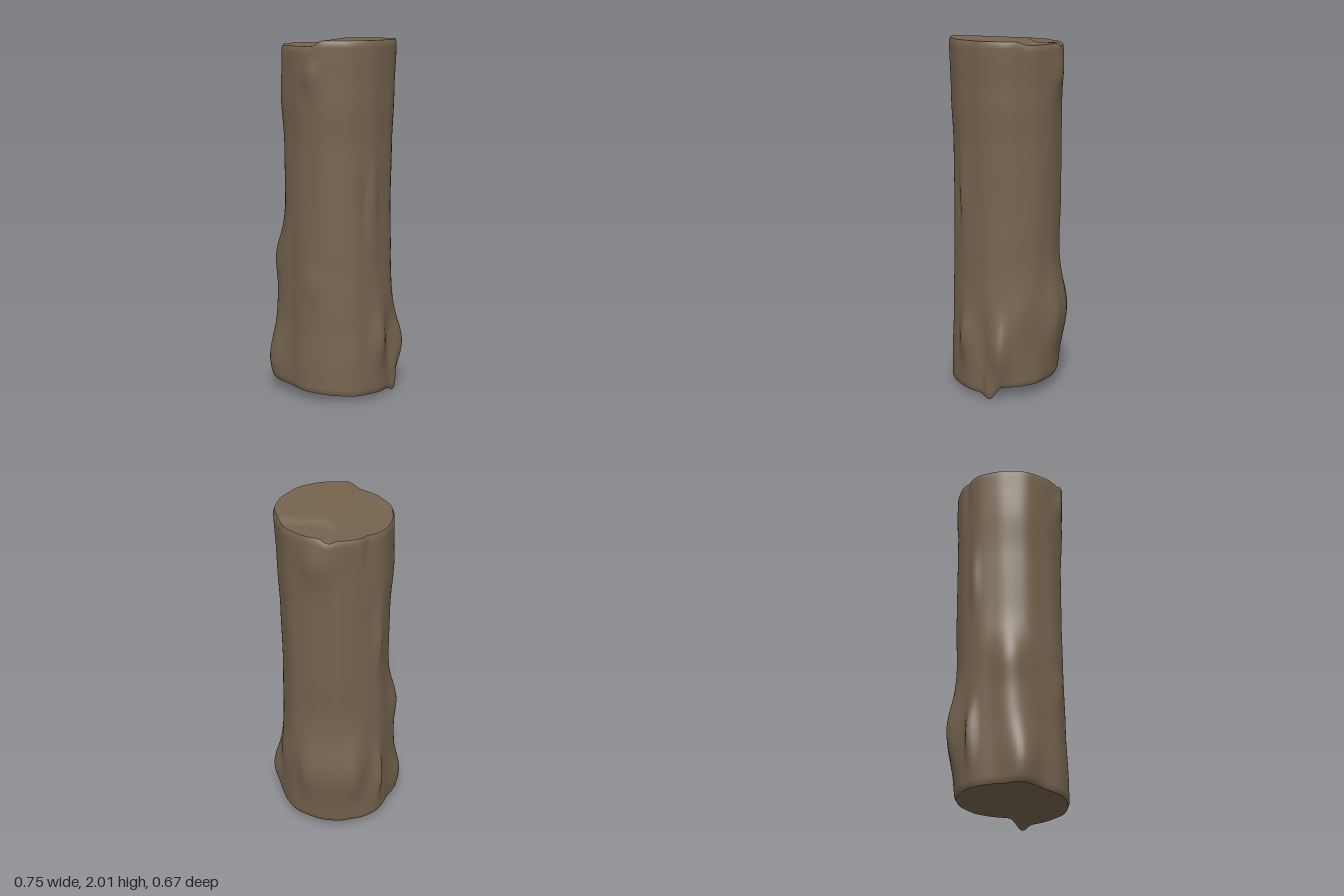
import * as THREE from 'three';

const SEG = 128, ROWS = 110, TAU = Math.PI * 2;

// Radius down each side: heights, then the +x, +z, -x and -z profiles
const HEIGHTS = [0, 0.15, 0.45, 0.8, 1.1, 1.4, 1.7, 2];
const SIDES = [
  [0.322, 0.322, 0.315, 0.305, 0.300, 0.304, 0.314, 0.324],
  [0.327, 0.325, 0.315, 0.308, 0.305, 0.306, 0.318, 0.326],
  [0.325, 0.325, 0.315, 0.310, 0.298, 0.300, 0.310, 0.310],
  [0.284, 0.290, 0.300, 0.288, 0.296, 0.296, 0.296, 0.302],
];

// Knots, ridges and hollows: angle from +x towards +z, height, angular spread, height spread, depth
const KNOTS = [
  [-0.08, 0.27, 0.13, 0.13, 0.057],
  [0.12, 0.06, 0.06, 0.09, 0.018],
  [0.6, 0.34, 0.13, 0.11, 0.034],
  [0.26, 0.3, 0.10, 0.14, -0.014],
  [-0.45, 0.45, 0.15, 0.12, 0.015],
  [2.82, 0.17, 0.2, 0.16, 0.066],
  [2.95, 0.5, 0.24, 0.2, 0.026],
  [3.0, 0.77, 0.24, 0.11, 0.034],
  [-1.57, 0.43, 0.4, 0.17, 0.038],
  [-2.03, 0.43, 0.15, 0.17, 0.035],
  [-1.13, 0.43, 0.15, 0.17, 0.026],
  [-2.57, 0.36, 0.08, 0.14, 0.036],
  [-2.57, 1.3, 0.08, 0.16, 0.018],
  [-1.36, 1.82, 0.2, 0.1, 0.029],
  [1.9, 1.81, 0.11, 0.07, 0.02],
  [1.92, 0.66, 0.13, 0.08, 0.012],
  [0.72, 1.15, 0.10, 0.13, 0.012],
  [0.9, 1.1, 0.06, 0.13, -0.01],
  [2.9, 1.68, 0.25, 0.12, 0.007],
  [-2.3, 1.9, 0.08, 0.12, -0.012],
];

const smooth = THREE.MathUtils.smoothstep;

function profile(side, y) {
  let i = 0;
  while (i < HEIGHTS.length - 2 && y > HEIGHTS[i + 1]) i++;
  return THREE.MathUtils.lerp(side[i], side[i + 1], smooth(y, HEIGHTS[i], HEIGHTS[i + 1]));
}

function radius(a, y) {
  const c = Math.cos(a), s = Math.sin(a);
  let r = c * c * profile(SIDES[c > 0 ? 0 : 2], y) + s * s * profile(SIDES[s > 0 ? 1 : 3], y);
  r += 0.0025 * Math.sin(7 * a + 0.8 * y) + 0.0015 * Math.sin(13 * a - y);
  for (const [ka, ky, da, dy, amp] of KNOTS) {
    const d = Math.atan2(Math.sin(a - ka), Math.cos(a - ka));
    r += amp * Math.exp(-((d / da) ** 2 + ((y - ky) / dy) ** 2) / 1.6);
  }
  return r;
}

// Uneven sawn ends
function topHeight(x, z) {
  const step = 1.965 + 0.032 * smooth(x + 0.15 * z, -0.06, 0.02);
  return step - 0.022 * smooth(-z, 0.1, 0.18) * smooth(x, -0.06, 0.02);
}
function bottomHeight(x, z) {
  const front = 0.034 - 0.06 * x;
  const spike = 0.026 * Math.exp(-(((x - 0.33) / 0.05) ** 2 + ((z - 0.04) / 0.035) ** 2));
  return THREE.MathUtils.lerp(front, 0.062, smooth(-z, -0.03, 0.04)) - spike;
}

// Closed rings of points joined into a surface
function loft(rows, point) {
  const pos = [], index = [];
  for (let j = 0; j <= rows; j++)
    for (let i = 0; i < SEG; i++) pos.push(...point(i / SEG * TAU, j / rows));
  for (let j = 0; j < rows; j++)
    for (let i = 0; i < SEG; i++) {
      const a = j * SEG + i, b = j * SEG + (i + 1) % SEG;
      index.push(a, a + SEG, b, b, a + SEG, b + SEG);
    }
  const g = new THREE.BufferGeometry();
  g.setAttribute('position', new THREE.Float32BufferAttribute(pos, 3));
  g.setIndex(index);
  g.computeVertexNormals();
  return g;
}

// Point on the bark, drawn in slightly at both ends to round the rims
function barkPoint(a, t) {
  const c = Math.cos(a), s = Math.sin(a);
  const lo = bottomHeight(c * radius(a, 0.04), s * radius(a, 0.04));
  const hi = topHeight(c * radius(a, 1.98), s * radius(a, 1.98));
  const y = lo + (hi - lo) * t;
  const rim = Math.max(0, 1 - Math.min(t, 1 - t) * 90);
  const r = radius(a, y) - 0.008 * rim * rim;
  return [r * c, y, r * s];
}

// End cap: the bark rim scaled in to the centre, following the sawn surface
function capPoint(a, k, end, height) {
  const [x, y, z] = barkPoint(a, end);
  return k > 0.999 ? [x, y, z] : [x * k, height(x * k, z * k), z * k];
}

export function createModel() {
  const group = new THREE.Group();
  group.name = 'log';
  const wood = new THREE.MeshStandardMaterial({ color: 0x75644e });
  wood.name = 'brown wood';

  const add = (name, geometry) => {
    const mesh = new THREE.Mesh(geometry, wood);
    mesh.name = name;
    group.add(mesh);
  };
  add('bark', loft(ROWS, barkPoint));
  add('topCut', loft(20, (a, t) => capPoint(a, 1 - t, 1, topHeight)));
  add('bottomCut', loft(20, (a, t) => capPoint(a, t, 0, bottomHeight)));
  return group;
}
